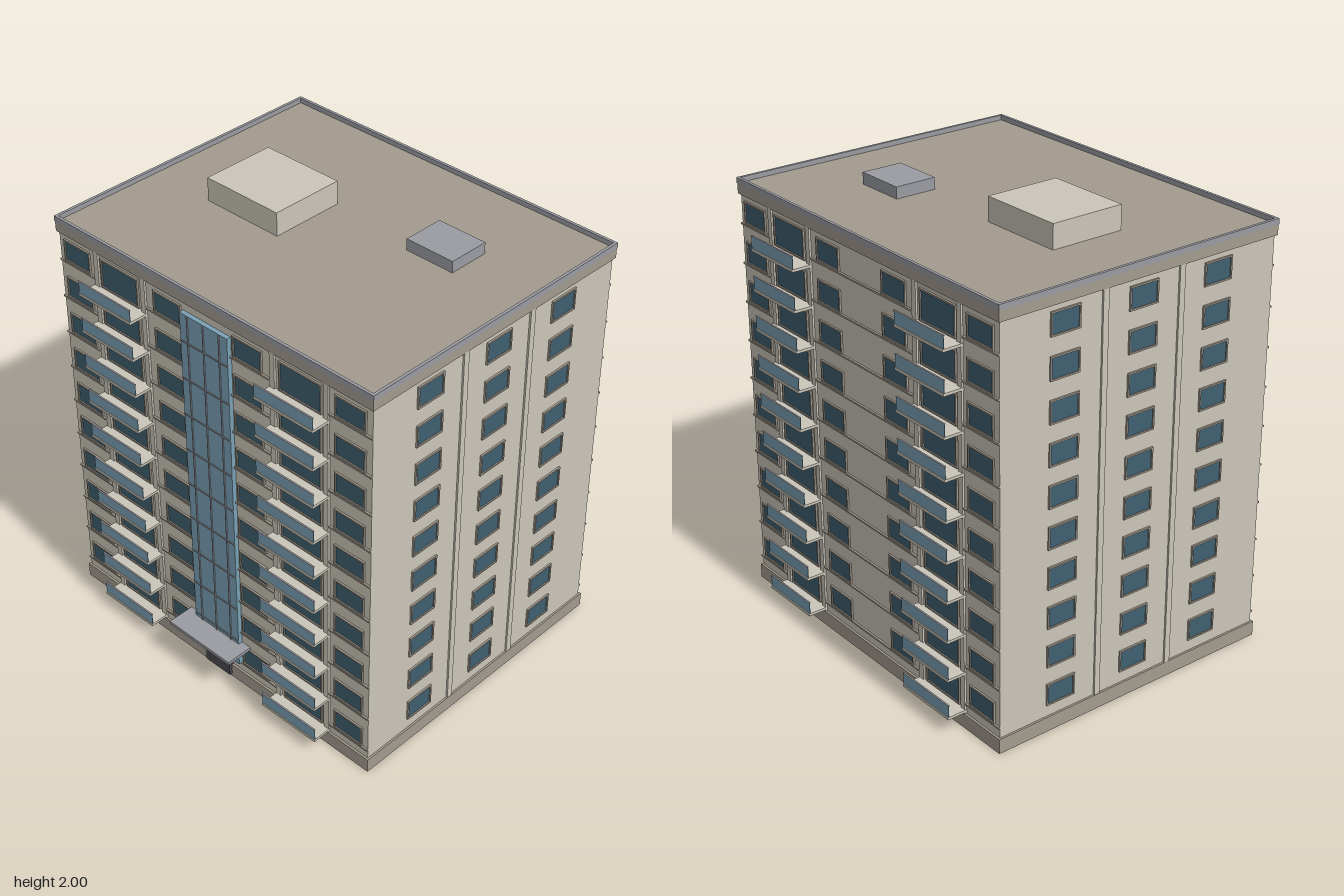
import * as THREE from 'three';

const mat = (color, opts = {}) => new THREE.MeshStandardMaterial({ color, ...opts });
const M = {
  wall: mat(0xcbc6ba), trim: mat(0xa39b8f), glass: mat(0x7aa2b6), pane: mat(0x3f5f70),
  metal: mat(0x9a9ca2), door: mat(0x4a4a50), lamp: mat(0xe8e6dc),
};
const FLOORS = 10, PITCH = 0.1778, CZ = -0.0125;
const HALF_W = 0.863, HALF_D = 0.69;

// Box given by its extents along each axis
function box(parent, name, material, [x0, x1], [y0, y1], [z0, z1]) {
  const mesh = new THREE.Mesh(new THREE.BoxGeometry(x1 - x0, y1 - y0, z1 - z0), material);
  mesh.position.set((x0 + x1) / 2, (y0 + y1) / 2, (z0 + z1) / 2);
  mesh.name = name;
  parent.add(mesh);
  return mesh;
}

// Rectangular ring, extruded upward or outward along z
function ringGeometry(w, h, t, depth) {
  const rect = (Type, a, b) => new Type([
    new THREE.Vector2(-a, -b), new THREE.Vector2(a, -b), new THREE.Vector2(a, b), new THREE.Vector2(-a, b),
  ]);
  const shape = rect(THREE.Shape, w / 2, h / 2);
  shape.holes.push(rect(THREE.Path, w / 2 - t, h / 2 - t));
  return new THREE.ExtrudeGeometry(shape, { depth, bevelEnabled: false });
}

// Framed window on a facade whose wall plane is z = 0
function addWindow(parent, x, y, w, h) {
  const win = new THREE.Group();
  win.name = 'window';
  const frame = new THREE.Mesh(ringGeometry(w, h, 0.007, 0.008), M.trim);
  frame.name = 'windowFrame';
  win.add(frame);
  box(win, 'windowPane', M.pane, [-w / 2 + 0.006, w / 2 - 0.006], [-h / 2 + 0.006, h / 2 - 0.006], [-0.002, 0.003]);
  win.position.set(x, y, 0);
  parent.add(win);
}

// Slab with a thin glass front and a handrail
function addBalcony(parent, x, y) {
  const b = new THREE.Group();
  b.name = 'balcony';
  box(b, 'balconySlab', M.wall, [-0.153, 0.153], [-0.006, 0.006], [-0.005, 0.094]);
  box(b, 'balconyGlass', M.glass, [-0.153, 0.153], [0.006, 0.06], [0.0885, 0.0905]);
  box(b, 'handrail', M.metal, [-0.153, 0.153], [0.058, 0.062], [0.086, 0.093]);
  b.position.set(x, y, 0);
  parent.add(b);
}

// Long facade with balconies, shared by the front and the back
function longFacade(name) {
  const f = new THREE.Group();
  f.name = name;
  for (let i = 0; i < FLOORS; i++) {
    const y = i * PITCH;
    for (const s of [-1, 1]) {
      addWindow(f, s * 0.755, y + 0.17, 0.157, 0.1);
      addWindow(f, s * 0.222, y + 0.17, 0.157, 0.1);
      addWindow(f, s * 0.5, y + 0.158, 0.22, 0.134);
      addBalcony(f, s * 0.4975, y + 0.081);
    }
    for (const [a, b] of [[-HALF_W, -0.65], [-0.345, 0.345], [0.65, HALF_W]])
      box(f, 'ledge', M.trim, [a, b], [y + 0.111, y + 0.119], [-0.002, 0.009]);
  }
  for (const x of [-0.635, -0.358, 0.358, 0.635])
    box(f, 'pilaster', M.wall, [x - 0.013, x + 0.013], [0.06, 1.85], [-0.002, 0.009]);
  return f;
}

// Short facade: three window columns and two pilasters
function sideFacade(name) {
  const f = new THREE.Group();
  f.name = name;
  for (let i = 0; i < FLOORS; i++)
    for (const x of [-0.385, 0, 0.385]) addWindow(f, x, i * PITCH + 0.17, 0.143, 0.1);
  for (const x of [-0.193, 0.193])
    box(f, 'pilaster', M.wall, [x - 0.014, x + 0.014], [0.06, 1.85], [-0.002, 0.008]);
  return f;
}

export function createModel() {
  const g = new THREE.Group();
  g.name = 'apartmentBlock';
  const zs = (h) => [CZ - h, CZ + h];

  // Main mass with plinth, cornice and roof
  box(g, 'walls', M.wall, [-HALF_W, HALF_W], [0.05, 1.86], zs(HALF_D));
  box(g, 'plinth', M.trim, [-0.872, 0.872], [0, 0.067], zs(0.7));
  box(g, 'cornice', M.trim, [-0.872, 0.872], [1.845, 1.893], zs(0.7));
  const parapet = new THREE.Mesh(ringGeometry(1.748, 1.404, 0.013, 0.025), M.metal);
  parapet.name = 'parapet';
  parapet.rotation.x = -Math.PI / 2;
  parapet.position.set(0, 1.89, CZ);
  g.add(parapet);
  box(g, 'stairHead', M.wall, [-0.543, -0.146], [1.89, 2], [-0.19, 0.155]);
  box(g, 'roofUnit', M.metal, [0.29, 0.528], [1.89, 1.945], [-0.318, -0.125]);

  // Facades
  const front = longFacade('frontFacade');
  front.position.z = CZ + HALF_D;
  const back = longFacade('backFacade');
  back.position.z = CZ - HALF_D;
  back.rotation.y = Math.PI;
  g.add(front, back);
  for (const s of [-1, 1]) {
    const side = sideFacade(s > 0 ? 'leftFacade' : 'rightFacade');
    side.position.set(s * HALF_W, 0, CZ);
    side.rotation.y = s * Math.PI / 2;
    g.add(side);
  }

  // Glazed stairwell with its grid of bars
  const stair = new THREE.Group();
  stair.name = 'glazedStairwell';
  box(stair, 'stairGlass', M.glass, [-0.132, 0.132], [0.115, 1.803], [0.66, 0.698]);
  for (const x of [-0.088, 0, 0.088])
    box(stair, 'mullion', M.metal, [x - 0.002, x + 0.002], [0.115, 1.803], [0.69, 0.703]);
  for (let i = 1; i < FLOORS; i++)
    box(stair, 'transom', M.metal, [-0.132, 0.132], [i * PITCH + 0.073, i * PITCH + 0.078], [0.69, 0.702]);
  g.add(stair);

  // Entrance
  const entrance = new THREE.Group();
  entrance.name = 'entrance';
  box(entrance, 'door', M.door, [-0.073, 0.073], [0.015, 0.115], [0.66, 0.702]);
  box(entrance, 'canopy', M.metal, [-0.182, 0.182], [0.218, 0.233], [0.67, 0.805]);
  for (const s of [-1, 1])
    box(entrance, 'lamp', M.lamp, [s * 0.112 - 0.011, s * 0.112 + 0.011], [0.173, 0.202], [0.69, 0.704]);
  g.add(entrance);
  return g;
}
